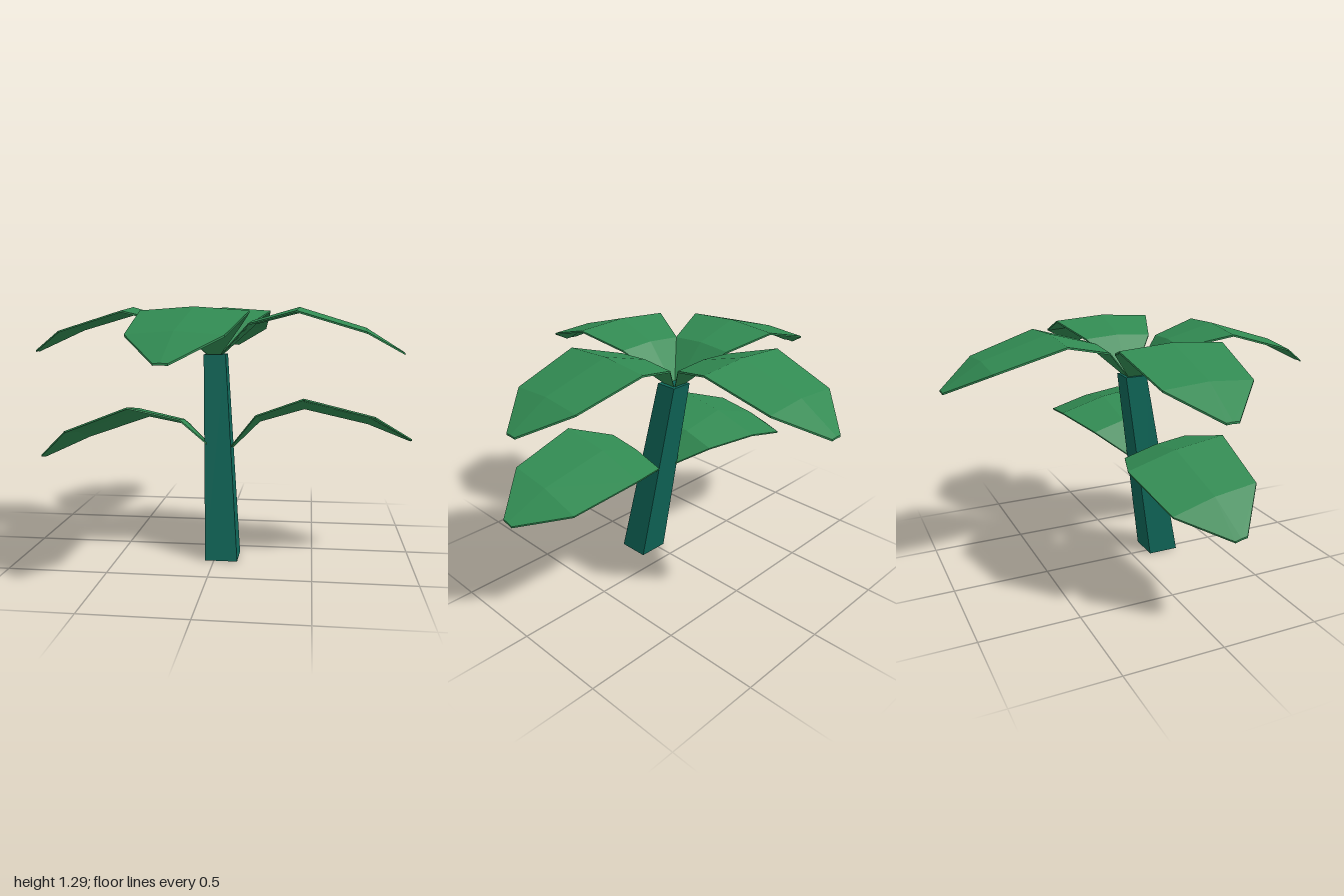
import * as THREE from 'three';

const leafGreen = new THREE.MeshStandardMaterial({ color: 0x318a52 });
const trunkTeal = new THREE.MeshStandardMaterial({ color: 0x0f6658 });

// Cross-sections of a frond growing along +z: [distance, height, half width]
const FROND = [
  [0.02, 0, 0.02],
  [0.195, 0.185, 0.178],
  [0.44, 0.255, 0.265],
  [0.78, 0.15, 0.222],
  [0.975, 0.027, 0.032],
];

// Thin arched blade with a slight ridge along the middle
function frondGeometry() {
  const thick = 0.009;
  const pos = [];
  const index = [];
  for (const [z, y, w] of FROND) {
    const edge = y - w * 0.07;
    pos.push(-w, edge, z, 0, y, z, w, edge, z);
    pos.push(w, edge - thick, z, 0, y - thick, z, -w, edge - thick, z);
  }
  const last = (FROND.length - 1) * 6;
  for (let i = 0; i < last; i += 6) {
    for (let j = 0; j < 6; j++) {
      const k = (j + 1) % 6;
      index.push(i + j, i + 6 + j, i + k, i + k, i + 6 + j, i + 6 + k);
    }
  }
  // End caps
  for (const [a, b] of [[2, 3], [3, 4], [4, 5], [5, 0]]) {
    index.push(1, a, b, last + 1, last + b, last + a);
  }
  const indexed = new THREE.BufferGeometry();
  indexed.setAttribute('position', new THREE.Float32BufferAttribute(pos, 3));
  indexed.setIndex(index);
  const flat = indexed.toNonIndexed();
  flat.computeVertexNormals();
  return flat;
}

// Square trunk that leans and narrows towards the top
function trunkGeometry() {
  const height = 1.045;
  const geo = new THREE.BoxGeometry(1, height, 1).translate(0, height / 2, 0).toNonIndexed();
  const p = geo.attributes.position;
  for (let i = 0; i < p.count; i++) {
    const t = p.getY(i) / height;
    const width = THREE.MathUtils.lerp(0.165, 0.115, t);
    p.setX(i, p.getX(i) * width + THREE.MathUtils.lerp(0.038, -0.022, t));
    p.setZ(i, p.getZ(i) * width + THREE.MathUtils.lerp(0.18, -0.008, t));
  }
  geo.computeVertexNormals();
  return geo;
}

export function createModel() {
  const model = new THREE.Group();
  model.name = 'palmTree';

  const trunk = new THREE.Mesh(trunkGeometry(), trunkTeal);
  trunk.name = 'trunk';
  model.add(trunk);

  const geometry = frondGeometry();
  const addCrown = (name, position, fronds) => {
    const crown = new THREE.Group();
    crown.name = name;
    crown.position.set(...position);
    for (const [frondName, yaw] of fronds) {
      const frond = new THREE.Mesh(geometry, leafGreen);
      frond.name = frondName;
      frond.rotation.y = yaw;
      crown.add(frond);
    }
    model.add(crown);
    return crown;
  };

  // Four fronds at the top
  addCrown('topCrown', [-0.025, 1.035, -0.01], [
    ['frontFrond', -0.103],
    ['backFrond', Math.PI],
    ['leftFrond', Math.PI / 2 - 0.045],
    ['rightFrond', -Math.PI / 2],
  ]);

  // Tilted pair halfway up
  const lower = addCrown('lowerCrown', [0.022, 0.535, 0.085], [
    ['lowerLeftFrond', Math.PI / 2],
    ['lowerRightFrond', -Math.PI / 2],
  ]);
  lower.rotation.set(-0.21, 0, 0.064);

  return model;
}
